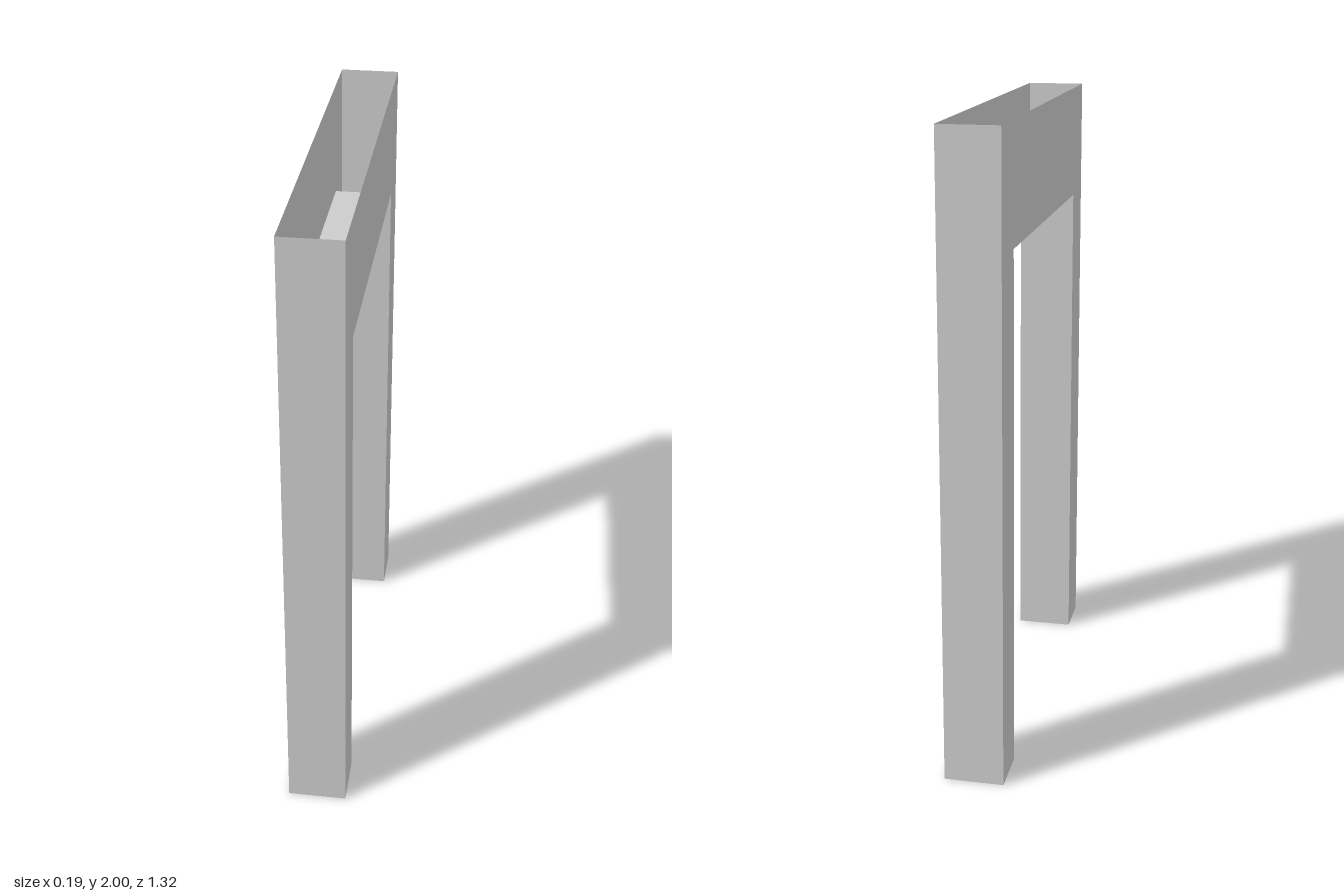
import * as THREE from 'three';

// Hollow doorway frame made of thin panels, open on top and under the legs
export function createModel() {
  const model = new THREE.Group();
  model.name = 'doorFrame';
  const grey = new THREE.MeshStandardMaterial({ color: 0xcccccc, side: THREE.DoubleSide });
  grey.name = 'light grey';

  const halfX = 0.093, outerZ = 0.66, innerZ = 0.5, height = 2, lintelY = 1.635;

  function addPanel(name, geometry) {
    const mesh = new THREE.Mesh(geometry, grey);
    mesh.name = name;
    model.add(mesh);
  }

  // U-shaped side faces
  const outline = new THREE.Shape([
    [-outerZ, 0], [-innerZ, 0], [-innerZ, lintelY], [innerZ, lintelY],
    [innerZ, 0], [outerZ, 0], [outerZ, height], [-outerZ, height],
  ].map(([z, y]) => new THREE.Vector2(z, y)));
  for (const side of [-1, 1]) {
    addPanel(side > 0 ? 'leftFace' : 'rightFace',
      new THREE.ShapeGeometry(outline).rotateY(side * Math.PI / 2).translate(side * halfX, 0, 0));
  }

  // Outer and inner walls of both legs
  for (const side of [-1, 1]) {
    const leg = side > 0 ? 'front' : 'back';
    const turn = side > 0 ? 0 : Math.PI;
    addPanel(leg + 'LegOuterWall',
      new THREE.PlaneGeometry(2 * halfX, height).rotateY(turn).translate(0, height / 2, side * outerZ));
    addPanel(leg + 'LegInnerWall',
      new THREE.PlaneGeometry(2 * halfX, lintelY).rotateY(turn + Math.PI).translate(0, lintelY / 2, side * innerZ));
  }

  // Underside of the lintel
  addPanel('lintelUnderside',
    new THREE.PlaneGeometry(2 * halfX, 2 * innerZ).rotateX(Math.PI / 2).translate(0, lintelY, 0));

  return model;
}
